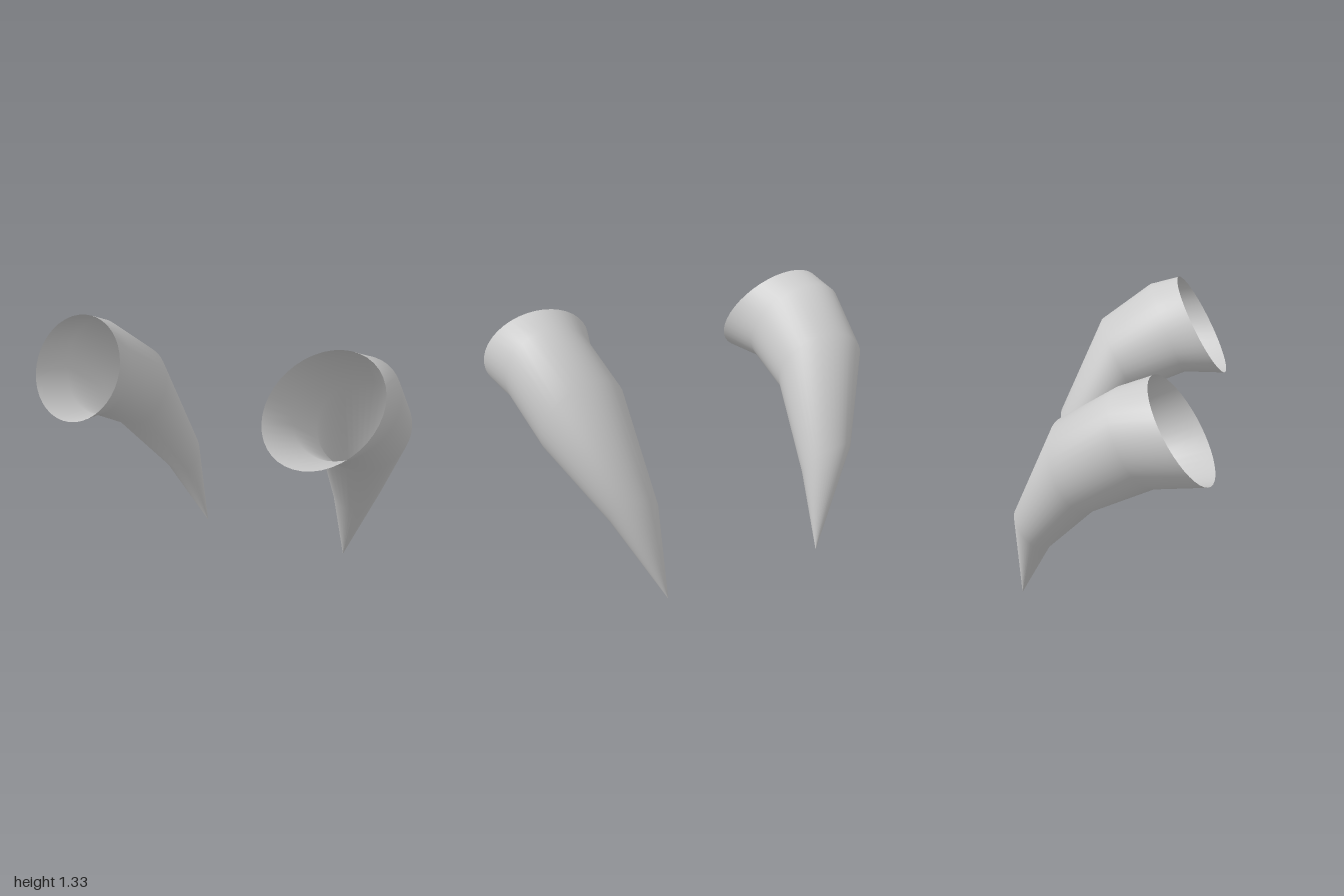
import * as THREE from 'three';

const SEGMENTS = 40;

// Cross-sections from open base to tip: centre, upward half-axis, sideways half-axis
const RINGS = [
  [[0.715, 1.087, 0.335], [0.015, 0.247, -0.147], [0.285, 0.02, -0.02]],
  [[0.737, 1.052, 0.14], [0, 0.231, -0.1], [0.248, 0.03, -0.05]],
  [[0.703, 0.885, -0.14], [0, 0.204, -0.095], [0.232, -0.01, -0.04]],
  [[0.577, 0.46, -0.387], [0.01, 0.103, -0.077], [0.133, 0.02, -0.01]],
  [[0.455, 0.003, -0.486], [0, 0.001, -0.001], [0.001, 0, 0]],
].map((ring) => ring.map((v) => new THREE.Vector3(...v)));

// Lofts the cross-sections into a curved, hollow horn; side is +1 (left) or -1 (right)
function hornGeometry(side) {
  const positions = [];
  const indices = [];
  RINGS.forEach(([centre, up, across], i) => {
    for (let j = 0; j < SEGMENTS; j++) {
      const t = (j / SEGMENTS) * Math.PI * 2;
      const p = centre.clone().addScaledVector(up, Math.cos(t)).addScaledVector(across, Math.sin(t));
      positions.push(p.x * side, p.y, p.z);
      if (i === RINGS.length - 1) continue;
      const a = i * SEGMENTS + j;
      const b = i * SEGMENTS + ((j + 1) % SEGMENTS);
      const c = a + SEGMENTS;
      const d = b + SEGMENTS;
      if (side > 0) indices.push(a, b, c, b, d, c);
      else indices.push(a, c, b, b, c, d);
    }
  });
  const geometry = new THREE.BufferGeometry();
  geometry.setAttribute('position', new THREE.Float32BufferAttribute(positions, 3));
  geometry.setIndex(indices);
  geometry.computeVertexNormals();
  return geometry;
}

export function createModel() {
  const group = new THREE.Group();
  group.name = 'hornPair';
  const material = new THREE.MeshStandardMaterial({ color: 0xcccccc, side: THREE.DoubleSide });
  for (const [name, side] of [['leftHorn', 1], ['rightHorn', -1]]) {
    const horn = new THREE.Mesh(hornGeometry(side), material);
    horn.name = name;
    group.add(horn);
  }
  return group;
}
